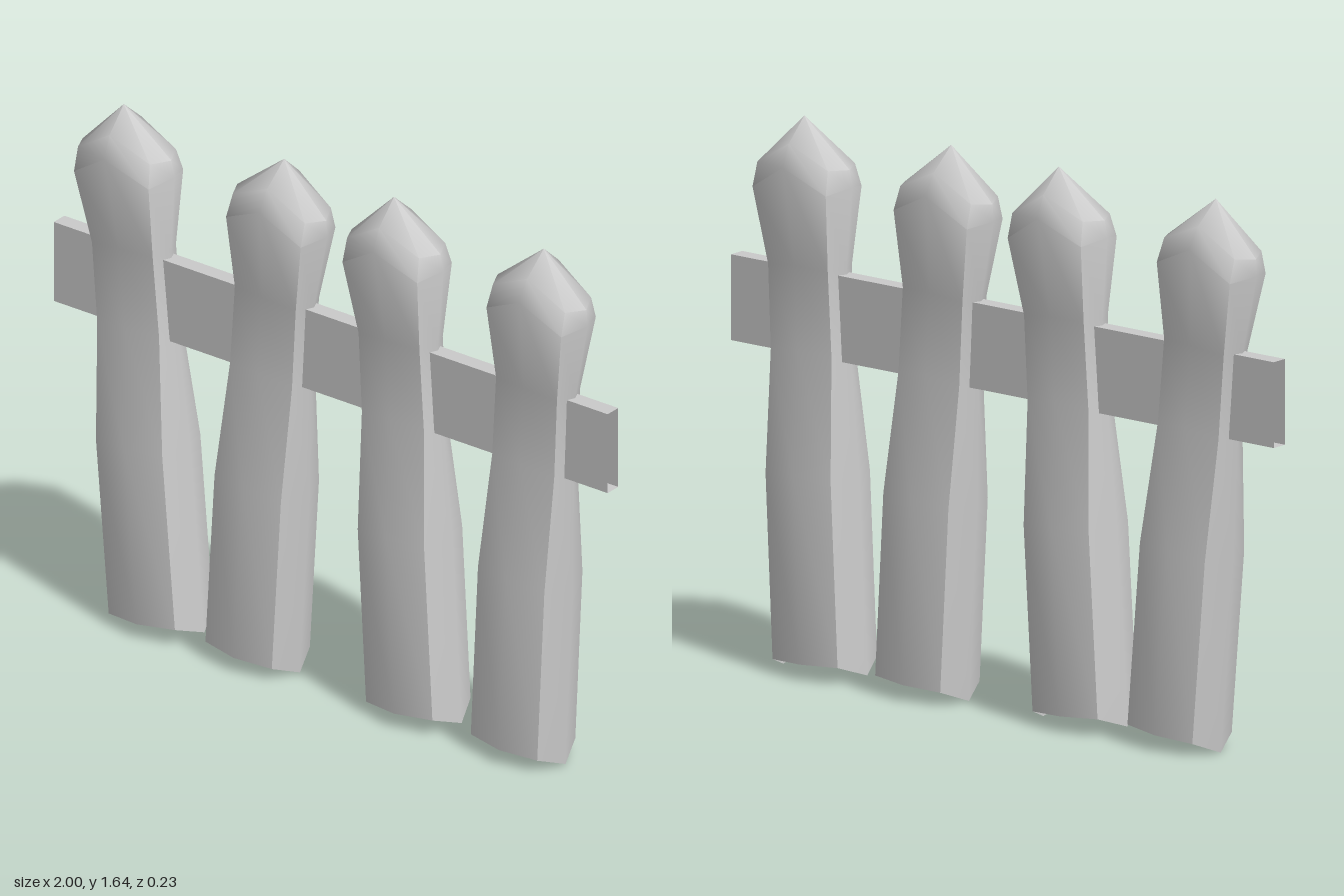
import * as THREE from 'three';
import { toCreasedNormals } from 'three/addons/utils/BufferGeometryUtils.js';

const material = new THREE.MeshStandardMaterial({ color: 0xcccccc, side: THREE.DoubleSide });

// Skin closed rings (running +x, +z, -x, -z) into an open tube, with an optional apex on top.
function loft(rings, apex) {
  const n = rings[0].length;
  const points = rings.flat();
  const index = [];
  for (let j = 0; j < rings.length - 1; j++) {
    for (let i = 0; i < n; i++) {
      const k = (i + 1) % n;
      const a = j * n + i, b = j * n + k, c = b + n, d = a + n;
      index.push(a, d, c, a, c, b);
    }
  }
  if (apex) {
    const base = (rings.length - 1) * n;
    for (let i = 0; i < n; i++) index.push(base + i, points.length, base + (i + 1) % n);
    points.push(apex);
  }
  const geometry = new THREE.BufferGeometry();
  geometry.setAttribute('position', new THREE.Float32BufferAttribute(points.flat(), 3));
  geometry.setIndex(index);
  return toCreasedNormals(geometry, 0.9);
}

// Eight-sided section: side edge, bevel corner and face middle, mirrored in x and z.
function section([w, wy, bx, by, bz, my, mz]) {
  return [
    [w, wy, 0], [bx, by, bz], [0, my, mz], [-bx, by, bz],
    [-w, wy, 0], [-bx, by, -bz], [0, my, -mz], [bx, by, -bz],
  ];
}

// Side x, side y, bevel x, bevel y, bevel z, middle y, middle z; from the foot upwards.
const picketProfile = [
  [0.155, 0.018, 0.12, 0.053, 0.09, 0.055, 0.115],
  [0.155, 0.6, 0.12, 0.6, 0.09, 0.61, 0.115],
  [0.137, 0.96, 0.112, 0.96, 0.055, 0.97, 0.07],
  [0.134, 1.21, 0.11, 1.21, 0.055, 1.22, 0.07],
  [0.168, 1.455, 0.135, 1.44, 0.082, 1.515, 0.107],
  [0.161, 1.505, 0.13, 1.51, 0.062, 1.58, 0.075],
];

export function createModel() {
  const fence = new THREE.Group();
  fence.name = 'picketFence';

  // Pickets: foot position and lean of each
  const picketGeometry = loft(picketProfile.map(section), [0, 1.648, 0]);
  const placements = [[-0.628, 0.084], [-0.286, -0.06], [0.3, 0.055], [0.673, -0.047]];
  placements.forEach(([x, lean], i) => {
    const picket = new THREE.Mesh(picketGeometry, material);
    picket.name = `picket${i + 1}`;
    picket.position.x = x;
    picket.rotation.z = lean;
    fence.add(picket);
  });

  // Rail: a rectangular sleeve open at both ends, lofted upright and laid along x
  const railRing = (y) => [[0.127, y, 0.025], [-0.127, y, 0.025], [-0.127, y, -0.025], [0.127, y, -0.025]];
  const rail = new THREE.Mesh(loft([railRing(-1), railRing(1)]), material);
  rail.name = 'rail';
  rail.rotation.z = Math.PI / 2;
  rail.position.y = 1.073;
  fence.add(rail);

  return fence;
}
